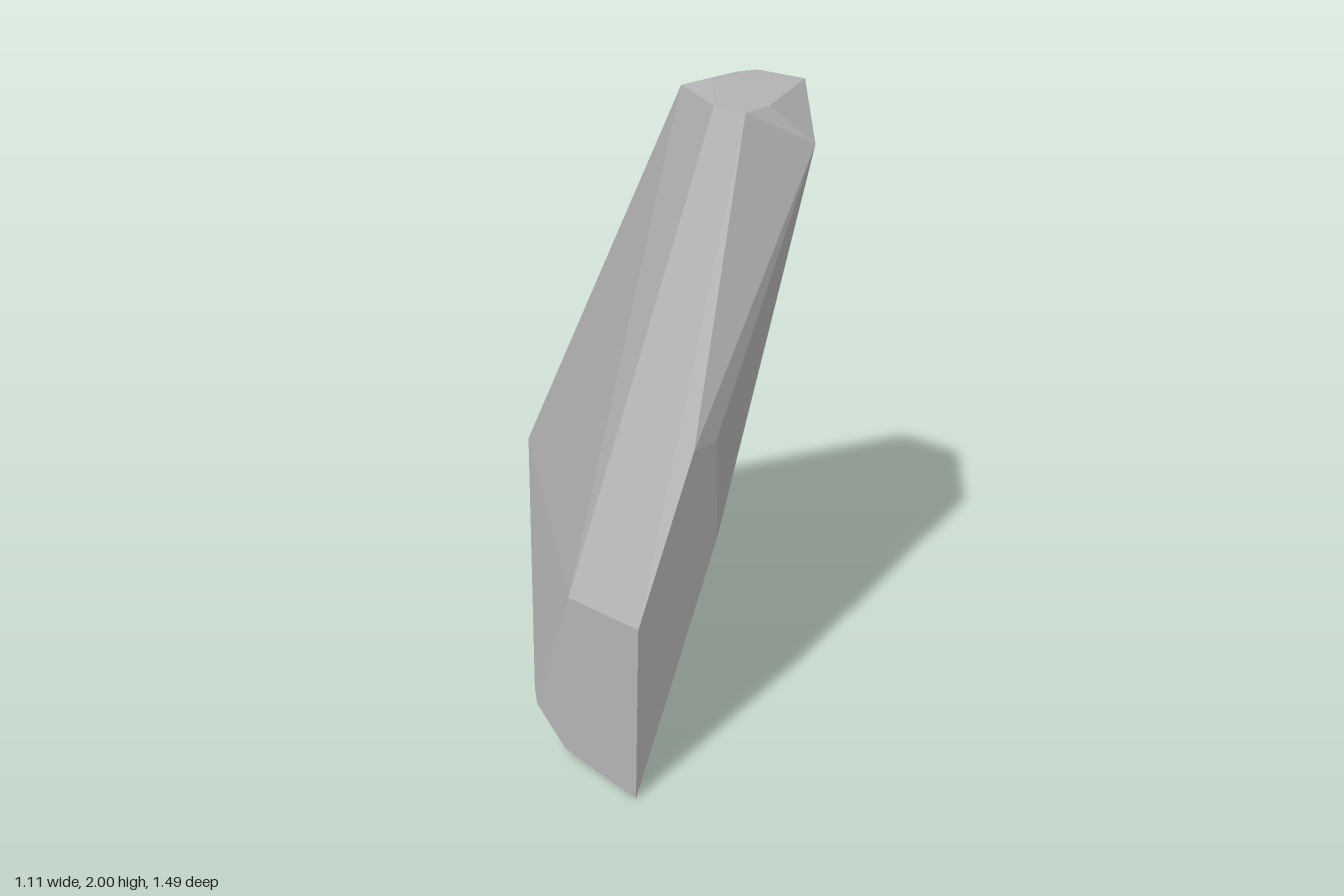
import * as THREE from 'three';
import { ConvexGeometry } from 'three/addons/geometries/ConvexGeometry.js';

const stone = new THREE.MeshStandardMaterial({ color: 0xb4b4b4 });
stone.name = 'stone grey';

// Horizontal groups of corners of the chipped boulder, [x, y, z]
const crown = [
  [0.085, 2, 0.57], [0.085, 2, 0.45], [0.2, 2, 0.57], [0.34, 1.995, 0.23],
  [0.555, 1.99, 0.43], [0.555, 1.985, 0.24], [0.555, 1.963, 0.155], [0.285, 1.97, 0.15],
];
const shoulder = [[0.3, 1.88, 0.67], [0.555, 1.88, 0.43]];
const frontEdge = [
  [-0.32, 1.1, 0.745], [-0.22, 1.1, 0.745], [-0.2, 0.77, 0.745],
  [-0.555, 0.6, 0.745], [-0.555, 0.595, 0.46],
];
const backHeel = [
  [0.37, 0.45, -0.64], [0.41, 0.45, -0.665], [0.555, 0.44, -0.65],
  [0.555, 0.32, -0.7], [0.555, 0.15, -0.745], [0.555, 0.09, -0.7],
];
const base = [
  [-0.555, 0, 0.745], [-0.555, 0.04, 0.445], [-0.555, 0.15, 0.32], [-0.52, 0.175, 0.275],
  [0.43, 0.09, -0.26], [0.555, 0.07, -0.44], [0.555, 0.062, -0.6],
];

export function createModel() {
  const group = new THREE.Group();
  group.name = 'rock';
  const points = [crown, shoulder, frontEdge, backHeel, base]
    .flat()
    .map((p) => new THREE.Vector3(...p));
  // Flat-faceted convex body
  const body = new THREE.Mesh(new ConvexGeometry(points), stone);
  body.name = 'boulder';
  group.add(body);
  return group;
}
